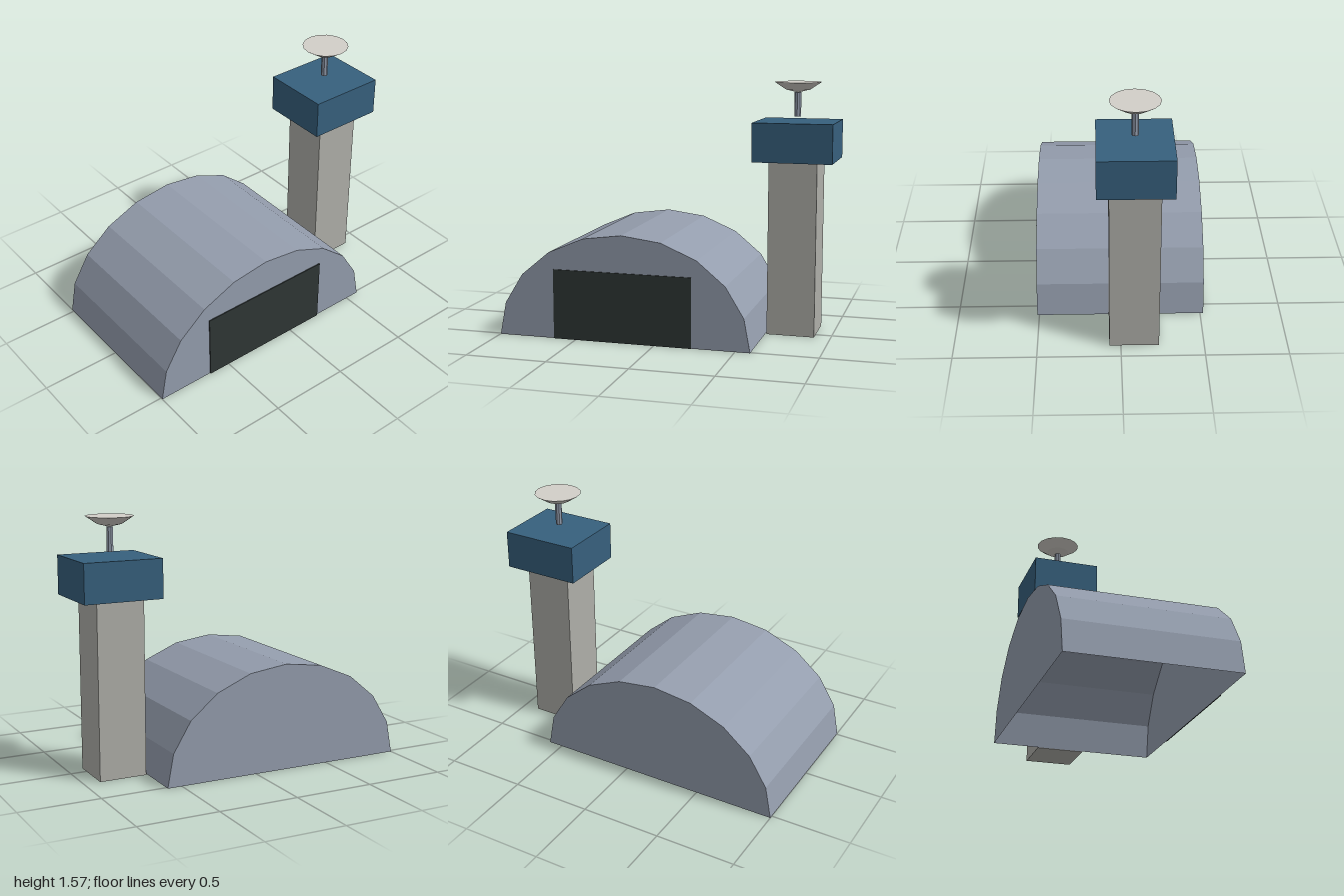
import * as THREE from 'three';

const material = (name, color, extra = {}) => {
  const m = new THREE.MeshStandardMaterial({ color, flatShading: true, ...extra });
  m.name = name;
  return m;
};

export function createModel() {
  const steel = material('steel grey', 0x949dad, { side: THREE.DoubleSide });
  const doorDark = material('door dark', 0x2f3635);
  const concrete = material('concrete', 0xafafa9);
  const cabBlue = material('cab blue', 0x37607d);
  const dishWhite = material('dish white', 0xd2cfc8);

  const model = new THREE.Group();
  model.name = 'hangarAndTower';
  const add = (name, geometry, mat, x, y, z, parent = model) => {
    const mesh = new THREE.Mesh(geometry, mat);
    mesh.name = name;
    mesh.position.set(x, y, z);
    parent.add(mesh);
    return mesh;
  };

  // Hangar: ten-sided barrel vault, open underneath, with flat end walls
  const hangar = new THREE.Group();
  hangar.name = 'hangar';
  hangar.position.x = -0.204;
  model.add(hangar);
  const rx = 0.796, ry = 0.663, zFront = 0.513, zBack = -0.52;

  const roof = new THREE.CylinderGeometry(1, 1, zFront - zBack, 10, 1, true, -Math.PI / 2, Math.PI);
  roof.rotateX(-Math.PI / 2);
  roof.scale(rx, ry, 1);
  add('hangarRoof', roof, steel, 0, 0, (zFront + zBack) / 2, hangar);

  for (const [name, z, turn] of [['frontWall', zFront, 0], ['backWall', zBack, Math.PI]]) {
    const wall = new THREE.CircleGeometry(1, 10, 0, Math.PI);
    wall.scale(rx, ry, 1);
    add(name, wall, steel, 0, 0, z, hangar).rotation.y = turn;
  }

  add('hangarDoor', new THREE.BoxGeometry(0.874, 0.433, 0.006), doorDark, 0, 0.2165, 0.517, hangar);

  // Control tower
  const tower = new THREE.Group();
  tower.name = 'tower';
  tower.position.set(0.75, 0, -0.08);
  model.add(tower);
  add('towerShaft', new THREE.BoxGeometry(0.298, 1.085, 0.298), concrete, 0, 0.5425, 0, tower);
  add('towerCab', new THREE.BoxGeometry(0.492, 0.24, 0.44), cabBlue, 0.004, 1.205, 0, tower);

  // Antenna mast and shallow dish with a flat top
  add('antennaMast', new THREE.CylinderGeometry(0.021, 0.021, 0.147, 8), steel, 0, 1.4275, 0, tower);
  const profile = [[0, 0], [0.076, 0.019], [0.145, 0.065], [0, 0.065]]
    .map(([r, y]) => new THREE.Vector2(r, y));
  add('antennaDish', new THREE.LatheGeometry(profile, 16), dishWhite, 0, 1.5, 0, tower);

  return model;
}
